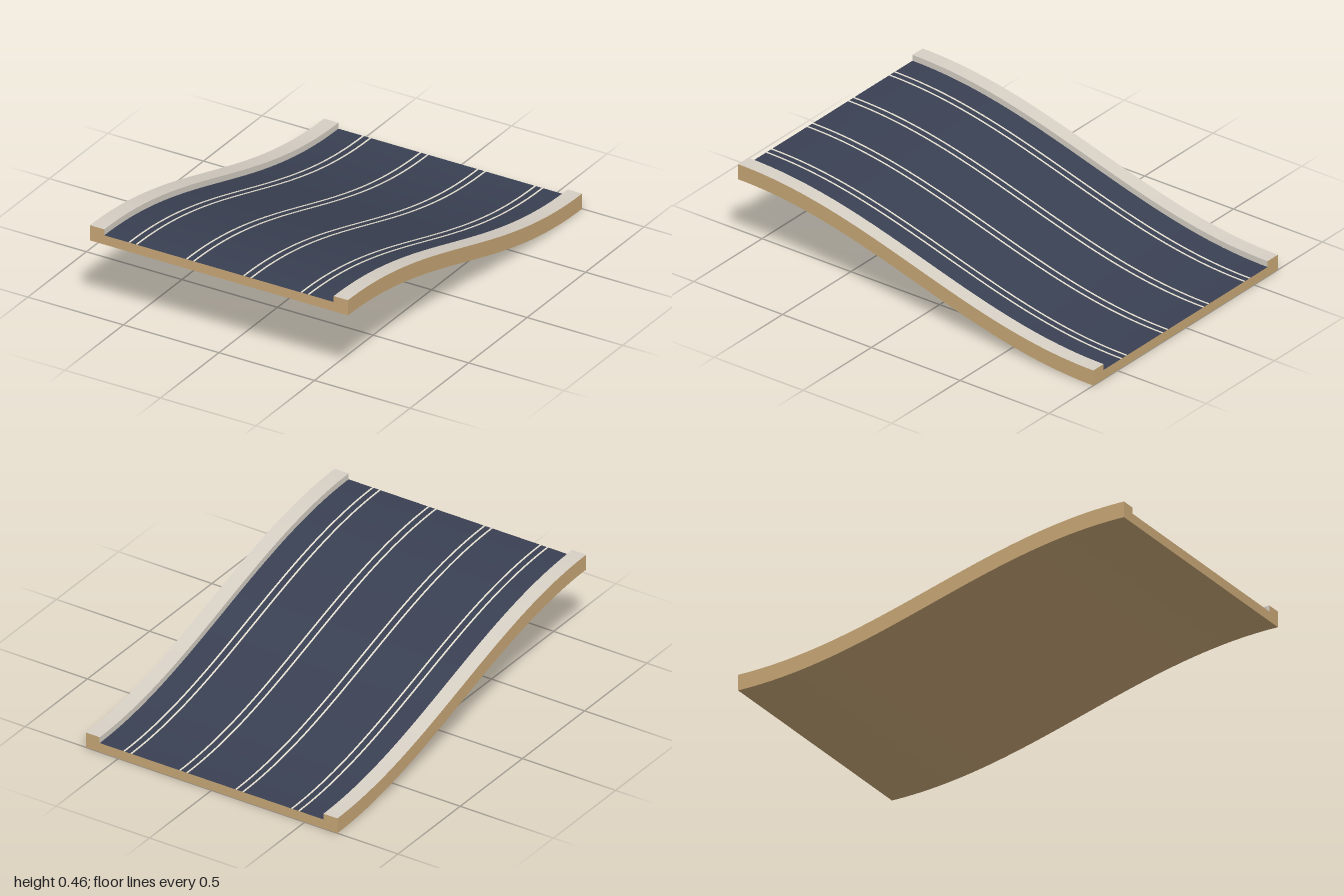
import * as THREE from 'three';

const HALF_WIDTH = 0.675, ROAD_HALF = 0.6, LENGTH = 2, STEPS = 48;
const ROAD_TOP = 0.047, CURB_TOP = 0.077, RISE = 0.379;

function flat(name, color) {
  const m = new THREE.MeshStandardMaterial({ color });
  m.name = name;
  return m;
}

// S-shaped slope: low at the back, high at the front
const slope = z => RISE * 0.5 * (1 + Math.sin(z * Math.PI / 2));

// A long bar from (x0, y0) to (x1, y1) that follows the slope.
// faces: materials for +x, -x, top, bottom, front, back; null leaves a face out.
function bar(name, x0, x1, y0, y1, faces) {
  const geo = new THREE.BoxGeometry(x1 - x0, y1 - y0, LENGTH, 1, 1, STEPS);
  geo.translate((x0 + x1) / 2, (y0 + y1) / 2, 0);
  const pos = geo.attributes.position;
  for (let i = 0; i < pos.count; i++) pos.setY(i, pos.getY(i) + slope(pos.getZ(i)));

  // Keep only the wanted faces
  const old = geo.index.array, kept = [], groups = geo.groups.slice();
  geo.clearGroups();
  for (const g of groups) {
    if (!faces[g.materialIndex]) continue;
    geo.addGroup(kept.length, g.count, g.materialIndex);
    for (let i = 0; i < g.count; i++) kept.push(old[g.start + i]);
  }
  geo.setIndex(kept);
  geo.computeVertexNormals();

  const mesh = new THREE.Mesh(geo, faces.map(f => f || faces.find(Boolean)));
  mesh.name = name;
  return mesh;
}

export function createModel() {
  const tan = flat('tan body', 0xc9a877);
  const cream = flat('cream curb', 0xd6cfc4);
  const navy = flat('navy road', 0x394052);
  const white = flat('pale lane line', 0xe6e0d2);

  const model = new THREE.Group();
  model.name = 'slopedRoad';

  // Slab: sides, underside and ends
  model.add(bar('slab', -HALF_WIDTH, HALF_WIDTH, 0, ROAD_TOP, [tan, tan, null, tan, tan, tan]));

  // Road surface between the curbs
  model.add(bar('roadSurface', -ROAD_HALF, ROAD_HALF, 0, ROAD_TOP, [null, null, navy, null, null, null]));

  // Raised curbs, tan outside and on the ends
  model.add(bar('leftCurb', ROAD_HALF, HALF_WIDTH, ROAD_TOP, CURB_TOP, [tan, cream, cream, null, tan, tan]));
  model.add(bar('rightCurb', -HALF_WIDTH, -ROAD_HALF, ROAD_TOP, CURB_TOP, [cream, tan, cream, null, tan, tan]));

  // Four pairs of thin lane lines
  const lines = new THREE.Group();
  lines.name = 'laneLines';
  for (const centre of [-0.45, -0.15, 0.15, 0.45]) {
    for (const side of [-1, 1]) {
      const x = centre + side * 0.019;
      lines.add(bar('laneLine', x - 0.004, x + 0.004, ROAD_TOP, ROAD_TOP + 0.002,
        [white, white, white, null, white, white]));
    }
  }
  model.add(lines);
  return model;
}
